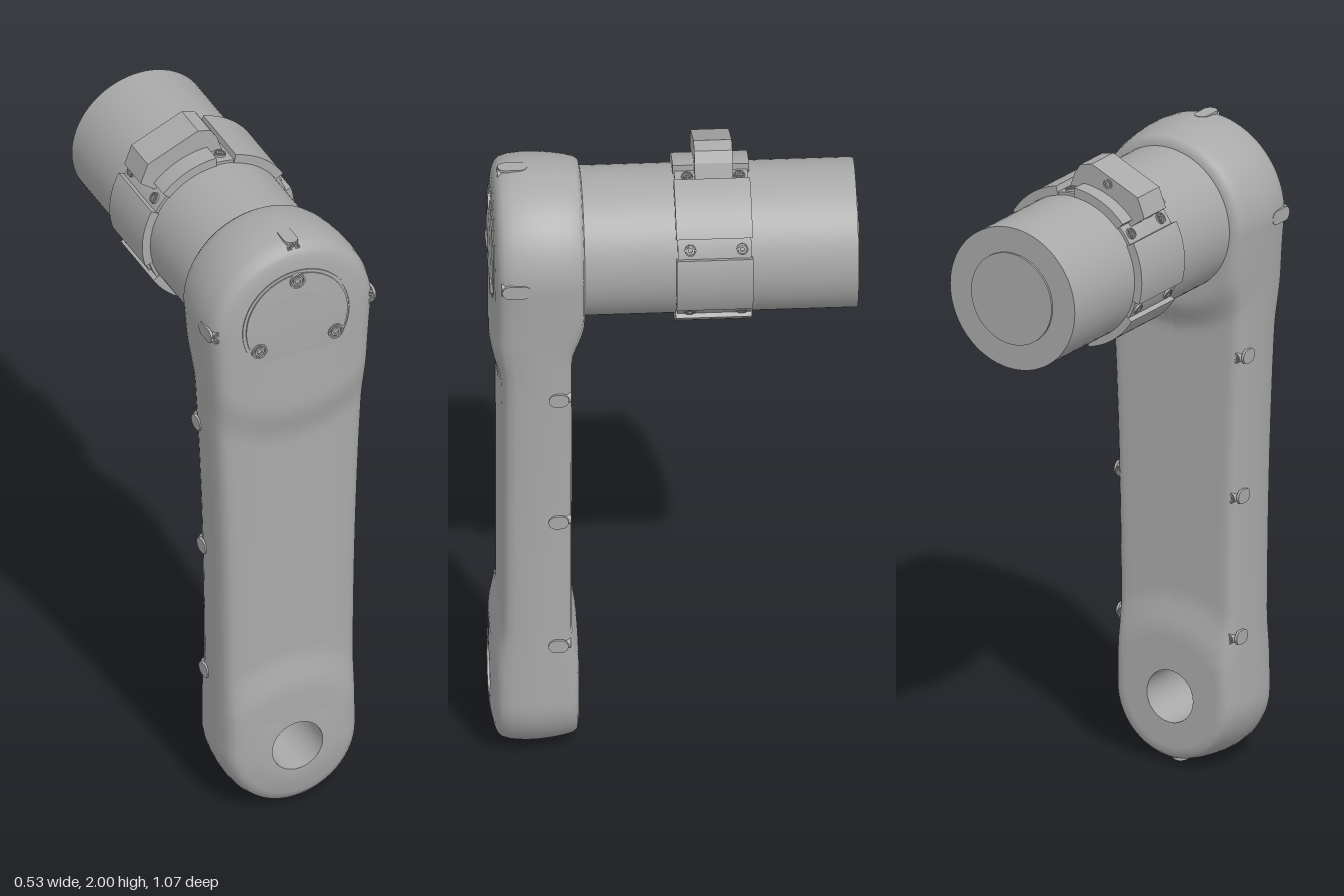
import * as THREE from 'three';

const grey = new THREE.MeshStandardMaterial({ color: 0xa9a9a9, side: THREE.DoubleSide });
grey.name = 'satin grey';

const TOP = 1.69, LOW = 0.212, R_TOP = 0.262, R_LOW = 0.21, HOLE = 0.08;
const { lerp, smoothstep } = THREE.MathUtils;
const halfWidth = y => lerp(R_LOW, R_TOP, Math.pow((y - LOW) / (TOP - LOW), 2.4));
const Y = new THREE.Vector3(0, 1, 0);

function add(parent, name, geometry, x = 0, y = 0, z = 0) {
  const mesh = new THREE.Mesh(geometry, grey);
  mesh.name = name;
  mesh.position.set(x, y, z);
  parent.add(mesh);
  return mesh;
}

// Stand a part whose local y is "outwards" on a surface
function aim(mesh, nx, ny, nz) {
  mesh.quaternion.setFromUnitVectors(Y, new THREE.Vector3(nx, ny, nz).normalize());
  return mesh;
}

const lathe = (pts, n = 48) => new THREE.LatheGeometry(pts.map(p => new THREE.Vector2(...p)), n);

// Disc along z with a cylinder's sharp edges
function zCylinder(parent, name, r, z0, z1) {
  const g = new THREE.CylinderGeometry(r, r, z1 - z0, 72).rotateX(Math.PI / 2);
  return add(parent, name, g, 0, TOP, (z0 + z1) / 2);
}

// Socket screw: rim, chamfer and sunken socket
function screw(parent, x, y, z, n, r = 0.022) {
  const g = lathe([[r, -0.012], [r, 0.003], [r * 0.8, 0.003], [r * 0.75, -0.001], [r * 0.6, -0.001],
    [r * 0.6, 0.003], [r * 0.35, 0.003], [r * 0.35, -0.003], [0, -0.003]], 16).toNonIndexed();
  g.computeVertexNormals();
  aim(add(parent, 'screw', g, x, y, z), ...n);
}

// Thin round-ended plate, long along its local z
function slotPlate(parent, x, y, z, n, length, width) {
  const r = width / 2, h = length / 2 - r;
  const s = new THREE.Shape();
  s.absarc(0, h, r, 0, Math.PI);
  s.absarc(0, -h, r, Math.PI, Math.PI * 2);
  const g = new THREE.ExtrudeGeometry(s, { depth: 0.008, bevelEnabled: false, curveSegments: 8 });
  g.translate(0, 0, -0.004).rotateX(-Math.PI / 2);
  aim(add(parent, 'screwSlot', g, x, y, z), ...n);
}

// Outline of the arm paired with an inner line: hole rim, centre line, top centre
function armOutline() {
  const right = [];
  const push = (ox, oy, ix, iy) => right.push([ox, oy, ix, iy]);
  for (let i = 0; i < 20; i++) {
    const a = (i / 20 - 1) * Math.PI / 2, c = Math.cos(a), s = Math.sin(a);
    push(i ? R_LOW * c : 0, LOW + R_LOW * s, i ? HOLE * c : 0, LOW + HOLE * s);
  }
  for (let i = 0; i < 12; i++) {
    const a = i / 12 * Math.PI / 2, y = LOW + 0.15 * i / 12;
    push(halfWidth(y), y, HOLE * Math.cos(a), LOW + HOLE * Math.sin(a));
  }
  for (let i = 0; i < 60; i++) {
    const y = lerp(LOW + 0.15, TOP, i / 60);
    push(halfWidth(y), y, 0, lerp(LOW + HOLE, TOP, i / 60));
  }
  for (let i = 0; i <= 24; i++) {
    const a = i / 24 * Math.PI / 2;
    push(i < 24 ? R_TOP * Math.cos(a) : 0, TOP + R_TOP * Math.sin(a), 0, TOP);
  }
  const left = right.slice(1, -1).reverse().map(([a, b, c, d]) => [-a, b, -c, d]);
  return right.concat(left);
}

// Arm shell: loops run from the front centre, round the edge, to the back centre
function armGeometry() {
  const outline = armOutline(), n = outline.length;
  const sections = [];
  for (let i = 0; i < 8; i++) sections.push({ u: i / 8, f: 1 - 0.04 * (i / 8) ** 2 });
  const edge = [[0.06, 0.96], [0.042, 0.945], [0.026, 0.92], [0.012, 0.87], [0.004, 0.77], [0, 0.6], [0.001, 0.45],
    [0.005, 0.3], [0.011, 0.16], [0.018, 0.06], [0.027, 0.015], [0.045, 0]];
  for (const [d, f] of edge) sections.push({ d, f });
  for (let i = 7; i >= 0; i--) sections.push({ u: i / 8, f: 0 });

  const pos = [], index = [];
  for (const { u, d, f } of sections) {
    for (const [ox, oy, ix, iy] of outline) {
      const len = Math.hypot(ox - ix, oy - iy);
      const inset = d !== undefined ? d : lerp(len, f > 0 ? 0.06 : 0.045, u);
      const x = lerp(ox, ix, inset / len), y = lerp(oy, iy, inset / len);
      // Both ends are thicker than the middle
      const rt = Math.hypot(x, y - TOP), rl = Math.hypot(x, y - LOW);
      const low = 1 - smoothstep(rl, 0.19, 0.32);
      const front = 0.51 + 0.021 * Math.max(low, 1 - smoothstep(rt, 0.29, 0.42));
      const back = 0.3 - Math.max(0.022 * low, 0.036 * (1 - smoothstep(rt, 0.25, 0.35)));
      pos.push(x, y, lerp(back, front, f));
    }
  }
  for (let k = 0; k < sections.length - 1; k++) {
    for (let j = 0; j < n; j++) {
      const j2 = (j + 1) % n;
      const a = k * n + j, b = a + n, c = (k + 1) * n + j2, e = k * n + j2;
      index.push(a, b, c, a, c, e);
    }
  }
  const g = new THREE.BufferGeometry();
  g.setAttribute('position', new THREE.Float32BufferAttribute(pos, 3));
  g.setIndex(index);
  g.computeVertexNormals();
  return g;
}

function buildArm() {
  const arm = new THREE.Group();
  arm.name = 'arm';
  add(arm, 'armShell', armGeometry());
  // Wall of the through hole
  const wall = lathe([[HOLE, 0.531], [HOLE, 0.278]]).rotateX(Math.PI / 2);
  add(arm, 'holeWall', wall, 0, LOW, 0);

  // Round front cover with a fine groove at its rim
  const cover = lathe([[0.172, -0.02], [0.172, -0.006], [0.167, -0.006], [0.166, -0.013], [0.161, -0.013],
    [0.161, -0.004], [0.1, -0.0005], [0, 0.001]], 72);
  const flat = cover.toNonIndexed();
  flat.computeVertexNormals();
  aim(add(arm, 'frontCover', flat, 0, TOP + 0.004, 0.532), 0, 0, 1);
  for (const deg of [90, 210, 330]) {
    const a = deg * Math.PI / 180;
    screw(arm, 0.14 * Math.cos(a), TOP + 0.004 + 0.14 * Math.sin(a), 0.531, [0, 0, 1], 0.024);
  }

  // Screw slots around the top end
  for (const [nx, ny] of [[1, 0], [-1, 0], [0, 1]]) {
    const r = R_TOP - 0.003;
    slotPlate(arm, nx * r, TOP + ny * r, 0.462, [nx, ny, 0], 0.085, 0.042);
    screw(arm, nx * 0.242, TOP + ny * 0.242, 0.503, [0, 0, 1], 0.019);
  }
  // Screw slots along both sides and under the foot
  for (const y of [1.29, 0.855, 0.42]) {
    for (const s of [1, -1]) {
      slotPlate(arm, s * (halfWidth(y) - 0.004), y, 0.34, [s, 0, 0], 0.058, 0.042);
      screw(arm, s * (halfWidth(y) - 0.025), y, 0.306, [0, 0, -1], 0.016);
    }
  }
  slotPlate(arm, 0, LOW - R_LOW + 0.006, 0.34, [0, -1, 0], 0.058, 0.042);
  return arm;
}

function buildClamp() {
  const clamp = new THREE.Group();
  clamp.name = 'clampBand';
  zCylinder(clamp, 'bandBase', 0.226, -0.216, -0.004);
  // Six raised arcs with screw seats between them
  for (let i = 0; i < 6; i++) {
    const seat = (24 + 60 * i) * Math.PI / 180, gap = 0.13;
    const a0 = seat + gap, a1 = seat + Math.PI / 3 - gap;
    const s = new THREE.Shape();
    s.absarc(0, 0, 0.242, a0, a1, false);
    s.absarc(0, 0, 0.21, a1, a0, true);
    const g = new THREE.ExtrudeGeometry(s, { depth: 0.22, bevelEnabled: false, curveSegments: 16 });
    add(clamp, 'bandArc', g, 0, TOP + 0.003, -0.22);
    const c = Math.cos(seat), n = Math.sin(seat);
    for (const z of [-0.04, -0.19]) screw(clamp, 0.229 * c, TOP + 0.229 * n, z, [c, n, 0], 0.017);
  }
  // Angled block on top of the band
  const block = new THREE.Shape([[-0.218, 1.87], [-0.195, 1.93], [-0.035, 2.0], [0.005, 1.99], [0.025, 1.96],
    [0.04, 1.915], [0.0, 1.86], [-0.15, 1.82]].reverse().map(p => new THREE.Vector2(...p)));
  const g = new THREE.ExtrudeGeometry(block, { depth: 0.11, bevelEnabled: false });
  add(clamp, 'topBlock', g, 0, 0, -0.172);
  screw(clamp, -0.09, 1.95, -0.172, [0, 0, -1], 0.016);
  return clamp;
}

export function createModel() {
  const model = new THREE.Group();
  model.name = 'crankArm';
  model.add(buildArm());
  zCylinder(model, 'motorBody', 0.217, -0.525, 0.32);
  zCylinder(model, 'motorEndDisc', 0.14, -0.531, -0.5);
  model.add(buildClamp());
  return model;
}
